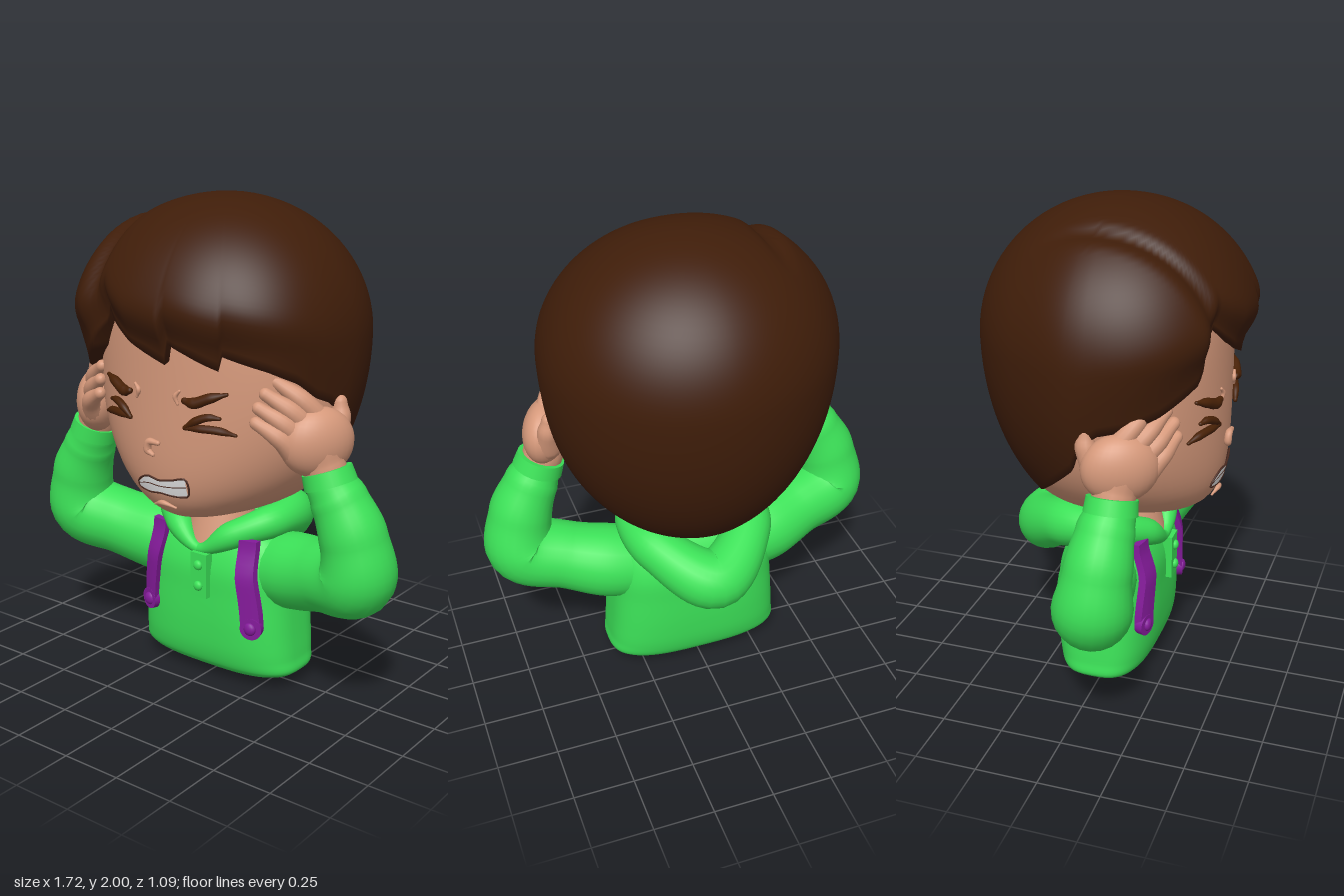
import * as THREE from 'three';

const mat = (name, color) => Object.assign(new THREE.MeshStandardMaterial({ color }), { name });
const V = (p) => new THREE.Vector3(...p);
const { smoothstep, lerp } = THREE.MathUtils;

// Grid surface closed around u; v runs from top to bottom (or along a tube)
function surface(nu, nv, f) {
  const pos = [], idx = [];
  for (let j = 0; j <= nv; j++) for (let i = 0; i < nu; i++) pos.push(...f(i / nu, j / nv, j));
  for (let j = 0; j < nv; j++) for (let i = 0; i < nu; i++) {
    const k = (i + 1) % nu, a = j * nu + i, b = a + nu, c = j * nu + k, d = c + nu;
    idx.push(a, b, c, c, b, d);
  }
  const g = new THREE.BufferGeometry();
  g.setAttribute('position', new THREE.Float32BufferAttribute(pos, 3));
  g.setIndex(idx);
  g.computeVertexNormals();
  return g;
}

// Piecewise value along evenly spaced numbers
const along = (a, t) => {
  const s = t * (a.length - 1), i = Math.min(Math.floor(s), a.length - 2);
  return lerp(a[i], a[i + 1], smoothstep(s - i, 0, 1));
};

// Tube of varying radius with round ends
function tube(points, radii, { closed = false, n = 24, sides = 14 } = {}) {
  const curve = new THREE.CatmullRomCurve3(points.map(V), closed);
  const fr = curve.computeFrenetFrames(n, closed), rows = [], cap = 4;
  for (let i = 0; i <= n; i++) {
    const t = i / n, u = curve.getUtoTmapping(t);
    rows.push({ p: curve.getPoint(u), r: along(closed ? [...radii, radii[0]] : radii, u), i });
  }
  if (!closed) {
    const a = rows[0], b = rows[n];
    for (let k = 1; k <= cap; k++) {
      const q = (k / cap) * Math.PI / 2, c = Math.cos(q), s = Math.sin(q);
      rows.unshift({ p: a.p.clone().addScaledVector(fr.tangents[0], -a.r * s), r: a.r * c, i: 0 });
      rows.push({ p: b.p.clone().addScaledVector(fr.tangents[n], b.r * s), r: b.r * c, i: n });
    }
  }
  return surface(sides, rows.length - 1, (u, v, j) => {
    const { p, r, i } = rows[j], q = -u * 2 * Math.PI;
    return p.clone().addScaledVector(fr.normals[i], r * Math.cos(q))
      .addScaledVector(fr.binormals[i], r * Math.sin(q)).toArray();
  });
}

// Head cross-section half sizes at a height, and depth of the face surface
const headSize = (y) => {
  const u = Math.min(1, Math.abs(y - 1.3) / 0.57);
  return [0.55 * (1 - u ** 2.2) ** (1 / 2.2), 0.45 * (1 - u ** 5) ** 0.2, 0.44 * (1 - u ** 3) ** (1 / 3)];
};
const faceZ = (x, y) => {
  const [sx, sz] = headSize(y);
  return sz * Math.sqrt(Math.max(0, 1 - (x / sx) ** 2));
};
const chestZ = (x, y) => (0.21 - 0.045 * smoothstep(y, 0.48, 0.64)) * (1 - (Math.abs(x) / 0.37) ** 3) ** (1 / 3);

// Hairline height by azimuth in degrees, 0 = front, positive toward +x
const hairline = [[-91, 1.1], [-86, 1.2], [-80, 1.25], [-68, 1.27], [-56, 1.31], [-39, 1.4], [-27, 1.58],
  [-20, 1.53], [-10, 1.47], [0, 1.43], [7.5, 1.4], [9, 1.48], [18, 1.45], [31.5, 1.395], [33, 1.45],
  [50, 1.4], [62, 1.35], [72, 1.28], [80, 1.25], [86, 1.2], [91, 1.1]];
const hairEnd = (deg) => {
  if (Math.abs(deg) >= 91) { // straight slanted cut behind the ears
    let y = 0.95;
    for (let i = 0; i < 14; i++) {
      const z = 0.55 * Math.sqrt(1 - ((1.47 - y) / 0.82) ** 2) * Math.cos(deg * Math.PI / 180);
      y = lerp(y, 1.1 + 1.03 * z, 0.5);
    }
    return y;
  }
  const k = Math.max(1, hairline.findIndex((h) => h[0] >= deg));
  const [a, b] = [hairline[k - 1], hairline[k]];
  return lerp(a[1], b[1], (deg - a[0]) / (b[0] - a[0]));
};
const locks = [-27, 8, 32, 70];

function hairPoint(u, v) {
  const deg = u * 360 - 180, a = deg * Math.PI / 180, ca = Math.cos(a), sa = Math.sin(a), front = Math.max(0, ca);
  const t = Math.min(1, v / 0.95), end = hairEnd(deg) - 1.47;
  const p = t * Math.acos(end / (end > 0 ? 0.53 : 0.82));
  const s = Math.sin(p), c = Math.cos(p);
  // fuller cross-section at the front, slimmer at the back
  const e = ca > 0 ? 2.2 : 1.93, full = (Math.abs(sa) ** e + Math.abs(ca) ** e) ** (-1 / e);
  const x = 0.595 * s * sa * full, y = c * (c > 0 ? 0.53 : 0.82), z = (ca > 0 ? 0.56 : 0.55) * s * ca * full;
  // side parting, raised side lobe and fringe locks
  const fade = smoothstep(z, -0.25, 0.05);
  let k = 1 - 0.04 * fade * Math.exp(-(((x + 0.31) / 0.028) ** 2));
  k += 0.04 * fade * smoothstep(-x, 0.31, 0.38);
  for (let i = 0; i < 3; i++) if (deg > locks[i] && deg < locks[i + 1])
    k += 0.025 * t ** 5 * Math.sin(Math.PI * (deg - locks[i]) / (locks[i + 1] - locks[i]));
  const tuck = (1 - 0.14 * front * smoothstep(t, 0.72, 1) ** 2) * (v > 0.96 ? 0.84 : 1);
  return [x * k * tuck, 1.47 + y * k + (v > 0.96 ? 0.02 : 0), z * k * tuck];
}

export function createModel() {
  const skin = mat('skin', 0xd6997b), hairMat = mat('hair brown', 0x3f1d09), green = mat('hoodie green', 0x3ce258);
  const purple = mat('strap purple', 0x841b9a), brown = mat('brow brown', 0x482106);
  const white = mat('teeth white', 0xffffff), dark = mat('mouth dark', 0x4a2a20);
  const model = new THREE.Group();
  const add = (name, geo, material, pos = [0, 0, 0]) => {
    const m = new THREE.Mesh(geo, material);
    m.name = name;
    m.position.set(...pos);
    model.add(m);
    return m;
  };
  // Thin tapered stroke lying on the face
  const stroke = (name, pts, radii, material, lift = 0.004, opts = {}) =>
    add(name, tube(pts.map(([x, y]) => [x, y, faceZ(x, y) + lift]), radii, { sides: 10, ...opts }), material);

  // Head, hair and neck
  add('head', surface(64, 40, (u, v) => {
    const a = u * 2 * Math.PI, y = 1.3 + 0.57 * Math.cos(v * Math.PI);
    const [sx, zf, zb] = headSize(y);
    return [sx * Math.sin(a), y, Math.cos(a) * (Math.cos(a) > 0 ? zf : zb)];
  }), skin);
  add('hair', surface(240, 40, hairPoint), hairMat);
  add('neck', new THREE.CylinderGeometry(0.11, 0.163, 0.2, 32), skin, [0, 0.68, 0.035]);

  // Torso: half width, height, half depth from neck to hem
  const rings = new THREE.CatmullRomCurve3([[0, 0.69, 0], [0.15, 0.685, 0.08], [0.25, 0.66, 0.125], [0.32, 0.6, 0.17],
    [0.35, 0.5, 0.205], [0.357, 0.38, 0.21], [0.368, 0.24, 0.21], [0.377, 0.13, 0.2], [0.378, 0.07, 0.18],
    [0.2, 0.02, 0.1], [0, 0, 0]].map(V));
  const bend = (c) => Math.sign(c) * Math.abs(c) ** (2 / 3);
  add('torso', surface(64, 60, (u, v) => {
    const p = rings.getPoint(v), a = u * 2 * Math.PI;
    return [p.x * bend(Math.sin(a)), p.y, p.z * bend(Math.cos(a))];
  }), green);

  // Hood lying open on the back, ending in a V at the front
  add('hood', tube([[0, 0.575, 0.195], [0.14, 0.652, 0.15], [0.25, 0.7, 0.02], [0.2, 0.675, -0.17], [0, 0.575, -0.325],
    [-0.2, 0.675, -0.17], [-0.25, 0.7, 0.02], [-0.14, 0.652, 0.15]],
  [0.022, 0.057, 0.07, 0.1, 0.125, 0.1, 0.07, 0.057], { closed: true, n: 72, sides: 24 }), green);

  // Button placket
  add('placket', new THREE.BoxGeometry(0.08, 0.19, 0.04), green, [0.025, 0.475, 0.215]);
  for (const y of [0.52, 0.43]) {
    add('button', new THREE.SphereGeometry(0.021, 16, 10), green, [0.025, y, 0.238]).scale.z = 0.7;
  }

  for (const s of [1, -1]) {
    const side = s > 0 ? 'left' : 'right';
    const m = (pts) => pts.map(([x, y, z]) => [s * x, y, z]);

    // Sleeve, cuff and wrist
    add(side + 'Sleeve', tube(m([[0.22, 0.49, 0], [0.36, 0.508, 0.02], [0.53, 0.545, 0.07], [0.7, 0.6, 0.12],
      [0.695, 0.76, 0.14], [0.635, 0.9, 0.152], [0.605, 0.955, 0.16]]),
    [0.15, 0.157, 0.145, 0.155, 0.132, 0.112, 0.098], { n: 48, sides: 24 }), green);
    const cuff = add(side + 'Cuff', new THREE.CylinderGeometry(0.098, 0.104, 0.06, 28), green, [s * 0.593, 0.985, 0.16]);
    cuff.rotation.z = s * 0.35;
    add(side + 'Wrist', tube(m([[0.6, 0.96, 0.16], [0.57, 1.03, 0.165], [0.55, 1.1, 0.175]]), [0.08, 0.085, 0.09]), skin);

    // Hand pressed against the temple
    const palm = add(side + 'Palm', new THREE.SphereGeometry(1, 28, 20), skin, [s * 0.55, 1.12, 0.18]);
    palm.scale.set(0.09, 0.135, 0.15);
    palm.rotation.y = -s * 0.53;
    const tips = [[0.42, 1.345, 0.265], [0.405, 1.305, 0.31], [0.392, 1.255, 0.335], [0.388, 1.2, 0.345]];
    tips.forEach(([x, y, z], i) => {
      const base = [0.56 - 0.018 * i, 1.18 - 0.035 * i, 0.15 + 0.035 * i];
      const mid = [(x + base[0]) / 2 + 0.025, (y + base[1]) / 2 + 0.01, (z + base[2]) / 2 + 0.01];
      add(side + 'Finger', tube(m([base, mid, [x, y, z]]), [0.046, 0.038, 0.025], { n: 12 }), skin);
    });
    add(side + 'Thumb', tube(m([[0.565, 1.1, 0.1], [0.57, 1.19, 0.055], [0.565, 1.25, 0.05]]), [0.06, 0.042, 0.028], { n: 12 }), skin);

    // Shoulder strap following the chest, with a round end
    const strap = new THREE.BoxGeometry(0.075, 0.37, 0.03, 4, 12, 1), p = strap.attributes.position;
    for (let i = 0; i < p.count; i++) {
      const y = p.getY(i) + 0.465, x = 0.262 - 0.035 * smoothstep(y, 0.28, 0.62) + s * p.getX(i);
      p.setXYZ(i, s * x, y, chestZ(x, y) + 0.01 + p.getZ(i));
    }
    strap.computeVertexNormals();
    add(side + 'Strap', strap, purple);
    const end = add(side + 'StrapEnd', new THREE.CylinderGeometry(0.046, 0.046, 0.034, 24), purple, [s * 0.262, 0.29, 0.19]);
    end.rotation.set(Math.PI / 2, 0, -s * 0.3);
    const stud = add(side + 'StrapStud', new THREE.SphereGeometry(0.028, 16, 10), purple, [s * 0.262, 0.29, 0.205]);
    stud.scale.z = 0.6;

    // Lowered brow, squeezed eye and frown crease
    stroke(side + 'Brow', m([[0.29, 1.303], [0.23, 1.285], [0.17, 1.262], [0.135, 1.268]]), [0.008, 0.02, 0.022, 0.013], brown, 0.012);
    stroke(side + 'EyeUpper', m([[0.265, 1.21], [0.225, 1.212], [0.18, 1.195], [0.135, 1.165]]), [0.008, 0.015, 0.016, 0.009], brown, 0.012);
    stroke(side + 'EyeLower', m([[0.318, 1.147], [0.265, 1.162], [0.2, 1.166], [0.135, 1.163]]), [0.007, 0.016, 0.016, 0.009], brown, 0.012);
    stroke(side + 'FrownCrease', m([[0.108, 1.3], [0.09, 1.278], [0.1, 1.25]]), [0.006, 0.01, 0.006], skin, 0.004);
  }

  // Nose and chin crease
  stroke('nose', [[0.015, 1.087], [-0.03, 1.085], [-0.038, 1.052], [-0.012, 1.037]], [0.01, 0.015, 0.016, 0.009], skin, 0.015);
  stroke('chinCrease', [[-0.05, 0.816], [0, 0.834], [0.055, 0.82]], [0.005, 0.011, 0.005], skin, 0.012);

  // Grimacing mouth: teeth plate, rim and bite line
  const lower = [0.882, 0.872, 0.878, 0.874, 0.882], upper = [0.905, 0.94, 0.932, 0.942, 0.952];
  const mouthX = (t) => -0.118 + 0.24 * t;
  const teeth = new THREE.PlaneGeometry(1, 1, 16, 3), q = teeth.attributes.position;
  for (let i = 0; i < q.count; i++) {
    const t = q.getX(i) + 0.5, x = mouthX(t), y = lerp(along(lower, t), along(upper, t), q.getY(i) + 0.5);
    q.setXYZ(i, x, y, faceZ(x, y) + 0.008);
  }
  teeth.computeVertexNormals();
  add('teeth', teeth, white);
  const ts = [0, 0.25, 0.5, 0.75, 1];
  const rim = [...ts.map((t) => [mouthX(t), along(lower, t)]), ...ts.map((t) => [mouthX(1 - t), along(upper, 1 - t)])];
  stroke('mouthRim', rim, [0.004, 0.004], dark, 0.007, { closed: true, n: 48 });
  stroke('biteLine', ts.map((t) => [mouthX(t), lerp(along(lower, t), along(upper, t), 0.55)]), [0.002, 0.002], dark, 0.008);

  return model;
}
